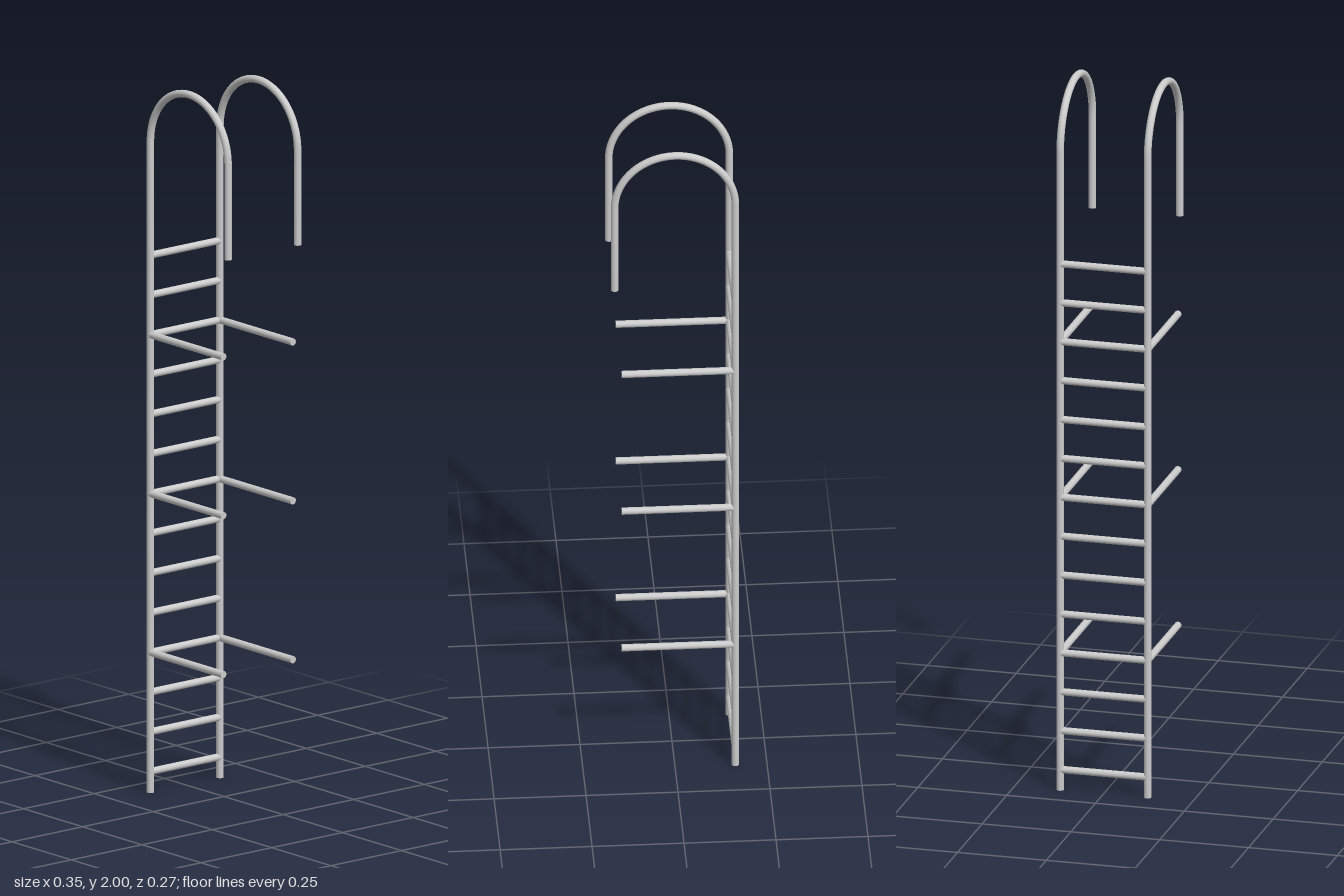
import * as THREE from 'three';

const R = 0.0103;      // pipe radius
const RAIL_X = 0.164;  // half span of the top hoop
const RAIL_Z = 0.123;  // half distance between the rails
const ARC_Y = 2 - R - RAIL_X;
const SIDES = 24;

const material = new THREE.MeshStandardMaterial({ color: 0xcccccc });

// Capped straight pipe between two points
function pipe(name, from, to, radius = R) {
  const a = new THREE.Vector3(...from);
  const b = new THREE.Vector3(...to);
  const dir = b.clone().sub(a);
  const mesh = new THREE.Mesh(new THREE.CylinderGeometry(radius, radius, dir.length(), SIDES), material);
  mesh.name = name;
  mesh.position.copy(a).add(b).multiplyScalar(0.5);
  mesh.quaternion.setFromUnitVectors(new THREE.Vector3(0, 1, 0), dir.normalize());
  return mesh;
}

export function createModel() {
  const ladder = new THREE.Group();
  ladder.name = 'ladder';

  const rungStart = 0.058;
  const rungStep = 0.1114;
  const rungCount = 14;

  for (const [side, z] of [['front', RAIL_Z], ['back', -RAIL_Z]]) {
    // Side rail: upright, half-circle hoop and short down-turned end
    const rail = new THREE.Group();
    rail.name = side + 'Rail';
    rail.add(pipe('upright', [-RAIL_X, 0, z], [-RAIL_X, ARC_Y, z]));
    const hoop = new THREE.Mesh(new THREE.TorusGeometry(RAIL_X, R, SIDES, 48, Math.PI), material);
    hoop.name = 'hoop';
    hoop.position.set(0, ARC_Y, z);
    rail.add(hoop);
    rail.add(pipe('handrailEnd', [RAIL_X, 1.56, z], [RAIL_X, ARC_Y, z]));
    ladder.add(rail);

    // Wall brackets, level with every fourth rung
    for (const i of [3, 7, 11]) {
      const y = rungStart + i * rungStep;
      ladder.add(pipe(side + 'WallBracket', [-RAIL_X, y, z], [0.145, y, z], 0.01));
    }
  }

  // Rungs between the rails
  for (let i = 0; i < rungCount; i++) {
    const y = rungStart + i * rungStep;
    ladder.add(pipe('rung', [-RAIL_X, y, -RAIL_Z], [-RAIL_X, y, RAIL_Z], 0.01));
  }

  return ladder;
}
